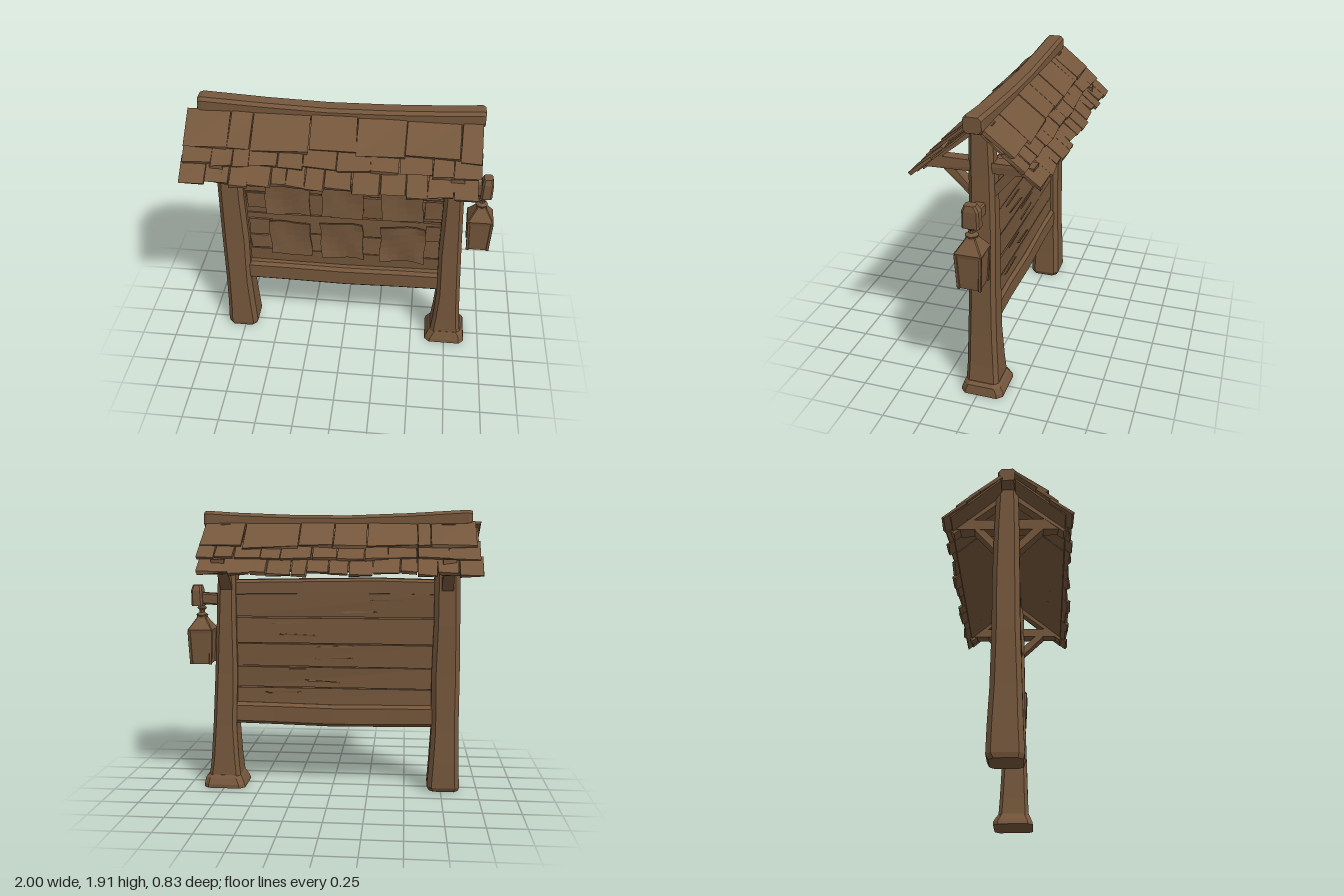
import * as THREE from 'three';

const wood = new THREE.MeshStandardMaterial({ color: 0x75573c });
wood.name = 'weathered brown';

// small seeded random in -1..1
let seed = 7;
const rnd = () => {
  seed = (seed * 16807) % 2147483647;
  return (seed / 2147483647) * 2 - 1;
};

function add(parent, name, geo, x = 0, y = 0, z = 0) {
  const g = geo.index ? geo.toNonIndexed() : geo;
  g.computeVertexNormals(); // faceted
  const m = new THREE.Mesh(g, wood);
  m.name = name;
  m.position.set(x, y, z);
  parent.add(m);
  return m;
}

// Chamfered beam through sections [h, a0, a1, b0, b1]:
// axis 'y': a = x, b = z;  axis 'x': a = z, b = y
function beam(sections, axis = 'y', chamfer = 0.02) {
  const pos = [], idx = [], n = 8;
  for (const [h, a0, a1, b0, b1] of sections) {
    const c = Math.min(chamfer, (a1 - a0) / 3, (b1 - b0) / 3);
    const ring = [[a1, b0 + c], [a1, b1 - c], [a1 - c, b1], [a0 + c, b1],
      [a0, b1 - c], [a0, b0 + c], [a0 + c, b0], [a1 - c, b0]];
    for (const [a, b] of ring) pos.push(...(axis === 'y' ? [a, h, b] : [h, b, a]));
  }
  const top = (sections.length - 1) * n;
  for (let k = 0; k < top; k += n) {
    for (let i = 0; i < n; i++) {
      const j = (i + 1) % n;
      idx.push(k + i, k + n + i, k + n + j, k + i, k + n + j, k + j);
    }
  }
  for (let i = 1; i < n - 1; i++) idx.push(0, i, i + 1, top, top + i + 1, top + i);
  const g = new THREE.BufferGeometry();
  g.setAttribute('position', new THREE.Float32BufferAttribute(pos, 3));
  g.setIndex(idx);
  return g;
}

// Box with its eight corners knocked about
function roughBox(w, h, d, jx, jy, jz) {
  const g = new THREE.BoxGeometry(w, h, d), p = g.attributes.position;
  const off = Array.from({ length: 8 }, () => [rnd() * jx, rnd() * jy, rnd() * jz]);
  for (let i = 0; i < p.count; i++) {
    const x = p.getX(i), y = p.getY(i), z = p.getZ(i);
    const o = off[(x > 0 ? 1 : 0) + (y > 0 ? 2 : 0) + (z > 0 ? 4 : 0)];
    p.setXYZ(i, x + o[0], y + o[1], z + o[2]);
  }
  return g;
}

// Thin notice with lifted corners and a slight ripple
function notice(w, h) {
  const g = new THREE.BoxGeometry(w, h, 0.012, 5, 5, 1), p = g.attributes.position;
  const phase = rnd() * 3, lean = rnd() * 0.01;
  for (let i = 0; i < p.count; i++) {
    const u = p.getX(i) / w * 2, v = p.getY(i) / h * 2;
    p.setXYZ(i, p.getX(i) + lean * v + 0.005 * Math.sin(v * 4 + phase),
      p.getY(i) + 0.006 * Math.sin(u * 3 + phase),
      p.getZ(i) + 0.018 * u * u * v * v + 0.004 * Math.sin(u * 3 + v * 2 + phase));
  }
  return g;
}

// Square timber in the side plane from (z0, y0) to (z1, y1)
function strut(parent, name, x, z0, y0, z1, y1, w, t) {
  const m = add(parent, name, roughBox(w, t, Math.hypot(z1 - z0, y1 - y0), 0.004, 0.004, 0.004),
    x, (y0 + y1) / 2, (z0 + z1) / 2);
  m.rotation.x = -Math.atan2(y1 - y0, z1 - z0);
}

// One pitched side of the roof; dir = 1 front, -1 back
function roofSide(root, dir) {
  const turn = new THREE.Group();
  turn.name = dir > 0 ? 'frontRoof' : 'backRoof';
  turn.rotation.y = dir > 0 ? 0 : Math.PI;
  const slope = new THREE.Group();
  slope.name = 'roofSlope';
  slope.position.set(0, 1.795, 0.05);
  slope.rotation.x = Math.atan2(0.3, 0.34);
  turn.add(slope);
  root.add(turn);
  // under-boards, split by a narrow gap
  for (const [x0, x1] of [[-0.96, -0.565], [-0.555, 0.84]]) {
    add(slope, 'roofBoard', new THREE.BoxGeometry(x1 - x0, 0.012, 0.41), dir * (x0 + x1) / 2, -0.004, 0.205);
  }
  // overlapping shingle courses: start, end along slope, left, right, width, lift
  const left = dir > 0 ? -1 : -0.98;
  const courses = [[0.28, 0.45, left, 0.85, 0.14, 0.006], [0.16, 0.325, left + 0.01, 0.87, 0.17, 0.018],
    [-0.02, 0.22, dir > 0 ? -0.99 : -0.95, 0.86, 0.3, 0.028]];
  for (const [s0, s1, x0, x1, w, lift] of courses) {
    let x = x0;
    while (x < x1 - 0.02) {
      let e = x + w * (1 + 0.3 * rnd());
      if (x < -0.57 && e > -0.62) e = -0.565;
      if (x1 - e < 0.07) e = x1;
      const len = s1 - s0 + 0.014 * rnd();
      const m = add(slope, 'shingle', roughBox(e - x - 0.006, 0.02, len, 0.005, 0.004, 0.01),
        dir * (x + e) / 2, lift, s0 + len / 2);
      m.rotation.x = -0.05 + 0.02 * rnd();
      x = e;
    }
  }
}

function lantern(root) {
  const g = new THREE.Group();
  g.name = 'lantern';
  g.position.set(0.913, 0, -0.003);
  root.add(g);
  const sq = (y, r) => [y, -r, r, -r, r];
  add(g, 'lanternBody', beam([sq(0.86, 0.066), sq(0.885, 0.068), sq(1.08, 0.078)], 'y', 0.006));
  add(g, 'lanternRoof', beam([sq(1.075, 0.08), sq(1.1, 0.086), sq(1.175, 0.035), sq(1.19, 0.03)], 'y', 0.006));
  for (const sx of [-1, 1]) for (const sz of [-1, 1]) {
    const post = [[0.86, 0.067], [1.09, 0.077]].map(([y, r]) =>
      [y, sx * r - 0.009, sx * r + 0.009, sz * r - 0.009, sz * r + 0.009]);
    add(g, 'lanternCorner', beam(post, 'y', 0.002));
  }
  const knob = [[0, 1.18], [0.035, 1.185], [0.042, 1.2], [0.02, 1.215], [0.018, 1.23], [0.034, 1.245], [0.02, 1.265], [0, 1.28]];
  add(g, 'lanternKnob', new THREE.LatheGeometry(knob.map(([r, y]) => new THREE.Vector2(r, y)), 8));
}

export function createModel() {
  const root = new THREE.Group();
  root.name = 'noticeBoard';

  // posts
  add(root, 'rightPost', beam([[0, -0.87, -0.67, -0.11, 0.085], [0.03, -0.877, -0.657, -0.125, 0.092],
    [0.2, -0.87, -0.668, -0.12, 0.085], [0.43, -0.865, -0.68, -0.108, 0.08], [0.8, -0.865, -0.675, -0.1, 0.07],
    [1.15, -0.86, -0.685, -0.1, 0.068], [1.5, -0.853, -0.685, -0.092, 0.066], [1.82, -0.84, -0.7, -0.08, 0.06]], 'y', 0.03));
  add(root, 'leftPost', beam([[0.05, 0.64, 0.865, -0.13, 0.092], [0.2, 0.655, 0.847, -0.12, 0.085],
    [0.43, 0.668, 0.832, -0.108, 0.08], [0.8, 0.657, 0.812, -0.1, 0.07],
    [1.15, 0.66, 0.795, -0.1, 0.068], [1.5, 0.66, 0.78, -0.092, 0.066], [1.82, 0.665, 0.775, -0.08, 0.06]], 'y', 0.025));
  add(root, 'postFoot', beam([[0, 0.605, 0.895, -0.165, 0.12], [0.025, 0.612, 0.892, -0.165, 0.115],
    [0.065, 0.632, 0.885, -0.145, 0.1], [0.085, 0.645, 0.865, -0.13, 0.092]], 'y', 0.035));

  // board: rails and planks
  add(root, 'bottomRail', beam([[-0.72, -0.082, 0.055, 0.445, 0.595], [-0.4, -0.075, 0.05, 0.437, 0.59],
    [0, -0.08, 0.052, 0.432, 0.585], [0.4, -0.075, 0.05, 0.44, 0.592], [0.7, -0.082, 0.055, 0.447, 0.597]], 'x', 0.022));
  add(root, 'topRail', beam([[-0.72, -0.06, 0.05, 1.335, 1.45], [-0.3, -0.056, 0.046, 1.34, 1.46],
    [0.2, -0.06, 0.048, 1.338, 1.452], [0.7, -0.06, 0.05, 1.33, 1.443]], 'x', 0.018));
  const seams = [0.57, 0.7, 0.85, 1.01, 1.19, 1.36];
  for (let i = 0; i < seams.length - 1; i++) {
    const h = seams[i + 1] - seams[i];
    add(root, 'plank', roughBox(1.37, h - 0.006, 0.05, 0, 0.004, 0.006), -0.01, seams[i] + h / 2, -0.028);
  }
  add(root, 'plankCore', new THREE.BoxGeometry(1.36, 0.8, 0.02), -0.01, 0.97, -0.028);
  // short board ends showing beside the notices
  for (const [x, y, w, h] of [[-0.61, 1.26, 0.14, 0.13], [-0.61, 1.12, 0.13, 0.12], [-0.59, 0.9, 0.16, 0.13],
    [-0.6, 0.77, 0.13, 0.11], [0.6, 1.27, 0.11, 0.1], [0.6, 1.12, 0.11, 0.14], [0.61, 0.92, 0.1, 0.12]]) {
    add(root, 'boardEnd', roughBox(w, h, 0.012, 0.008, 0.006, 0.003), x, y, 0.003);
  }
  // cracks raised as slivers on the back
  for (let i = 0; i < 9; i++) {
    const m = add(root, 'splinter', roughBox(0.22, 0.008, 0.008, 0.03, 0.002, 0.002),
      0.45 * rnd(), 0.67 + i * 0.08, -0.055);
    m.rotation.z = 0.06 * rnd();
  }

  // notices: x0, x1, y0, y1
  for (const [x0, x1, y0, y1] of [[-0.54, -0.235, 1.035, 1.33], [-0.15, 0.13, 1.03, 1.335], [0.25, 0.53, 1.035, 1.325],
    [-0.52, -0.235, 0.68, 0.965], [-0.165, 0.13, 0.68, 0.975], [0.25, 0.56, 0.68, 0.975]]) {
    add(root, 'notice', notice(x1 - x0, y1 - y0), (x0 + x1) / 2, (y0 + y1) / 2, 0.02);
  }

  // roof frame at each post
  for (const x of [-0.77, 0.72]) {
    add(root, 'crossBeam', roughBox(0.085, 0.07, 0.66, 0.004, 0.005, 0.01), x, 1.56, 0);
    for (const s of [-1, 1]) {
      strut(root, 'rafter', x, s * 0.03, 1.785, s * 0.36, 1.515, 0.08, 0.045);
      strut(root, 'brace', x, s * 0.05 - 0.01, 1.375, s * 0.2, 1.54, 0.075, 0.05);
    }
  }
  roofSide(root, 1);
  roofSide(root, -1);

  // sagging ridge
  add(root, 'ridgeBeam', beam([[-0.925, -0.06, 0.05, 1.815, 1.905], [-0.9, -0.068, 0.056, 1.805, 1.912],
    [-0.5, -0.066, 0.054, 1.79, 1.89], [-0.1, -0.066, 0.055, 1.78, 1.876], [0.3, -0.066, 0.055, 1.782, 1.881],
    [0.65, -0.066, 0.055, 1.79, 1.895], [0.85, -0.068, 0.056, 1.795, 1.908], [0.87, -0.06, 0.05, 1.805, 1.9]], 'x', 0.02));

  // lantern arm
  add(root, 'lanternArm', beam([[0.75, -0.045, 0.025, 1.265, 1.345], [0.92, -0.045, 0.025, 1.275, 1.355]], 'x', 0.01));
  add(root, 'armBlock', beam([[1.262, 0.895, 0.972, -0.068, 0.04], [1.37, 0.9, 0.974, -0.066, 0.038],
    [1.405, 0.908, 0.966, -0.045, 0.025]], 'y', 0.012));
  lantern(root);
  return root;
}
